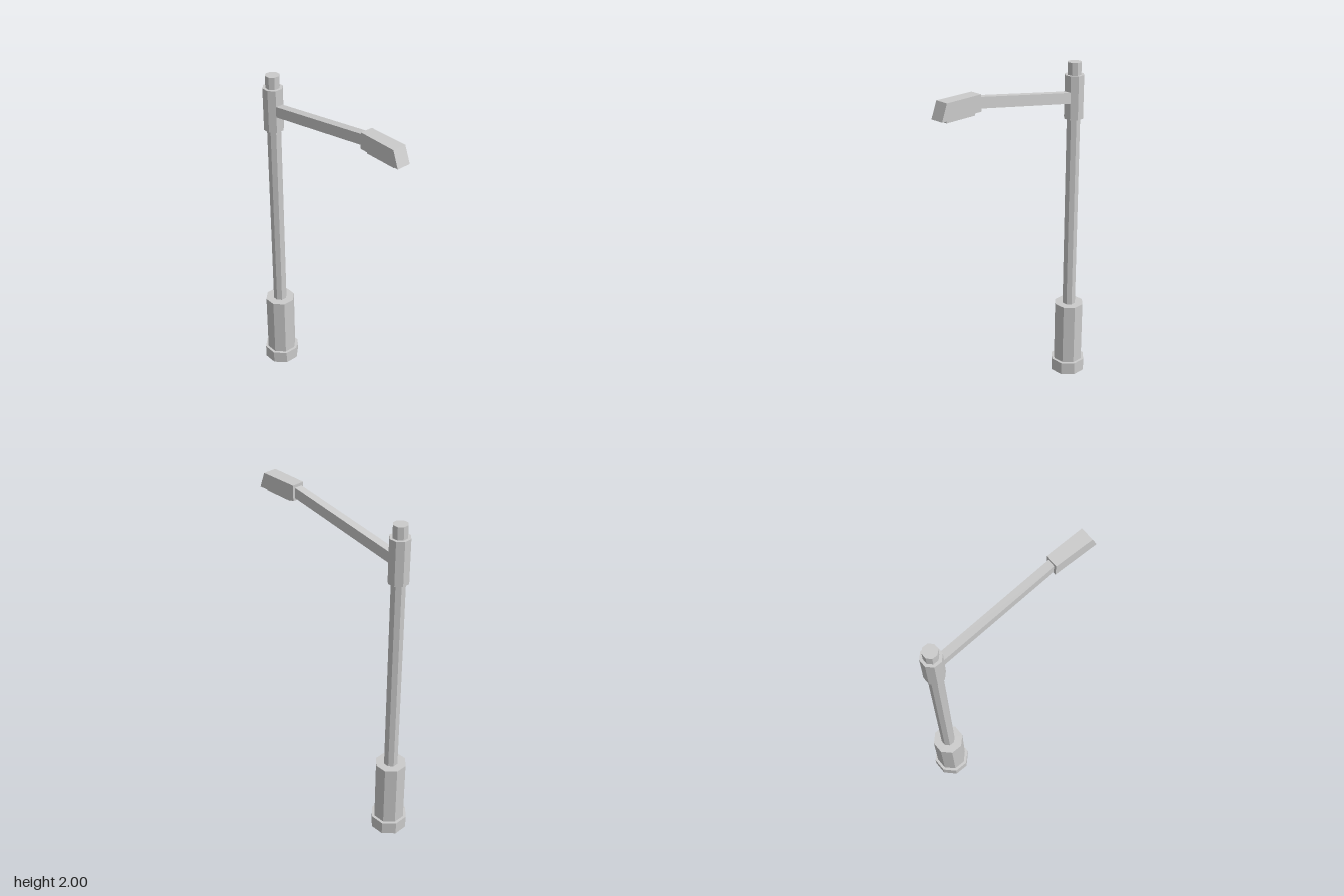
import * as THREE from 'three';

const material = new THREE.MeshStandardMaterial({ color: 0xcccccc, flatShading: true });
const POLE_X = -0.465;

export function createModel() {
  const model = new THREE.Group();

  const add = (name, geometry) => {
    const mesh = new THREE.Mesh(geometry, material);
    mesh.name = name;
    model.add(mesh);
    return mesh;
  };

  // Upright octagonal prism, flat sides facing the axes
  const octagon = (name, apothem, y0, y1) => {
    const r = apothem / Math.cos(Math.PI / 8);
    const g = new THREE.CylinderGeometry(r, r, y1 - y0, 8);
    g.rotateY(Math.PI / 8);
    add(name, g).position.set(POLE_X, (y0 + y1) / 2, 0);
  };

  // Side outline in x/y, extruded across z and centred
  const slab = (points, halfDepth) => {
    const shape = new THREE.Shape(points.map(([x, y]) => new THREE.Vector2(x, y)));
    const g = new THREE.ExtrudeGeometry(shape, { depth: halfDepth * 2, bevelEnabled: false });
    return g.translate(0, 0, -halfDepth);
  };

  // Pole and its sleeves
  octagon('foot', 0.1, 0, 0.08);
  octagon('baseSleeve', 0.084, 0.08, 0.472);
  octagon('pole', 0.038, 0.472, 2);
  octagon('armCollar', 0.054, 1.673, 1.928);

  // Sloping arm with upright ends
  add('arm', slab([[-0.415, 1.77], [0.295, 1.888], [0.295, 1.95], [-0.415, 1.833]], 0.023));

  // Lamp head with slanted nose, widening slightly outwards
  const head = slab([[0.29, 1.874], [0.56, 1.874], [0.524, 1.966], [0.29, 1.966]], 1);
  const p = head.attributes.position;
  for (let i = 0; i < p.count; i++) {
    const t = (p.getX(i) - 0.29) / 0.27;
    p.setZ(i, p.getZ(i) * (0.037 + 0.004 * t));
  }
  head.computeVertexNormals();
  add('lampHead', head);

  // Lens under the head
  add('lens', new THREE.BoxGeometry(0.192, 0.02, 0.052)).position.set(0.422, 1.868, 0);

  return model;
}
